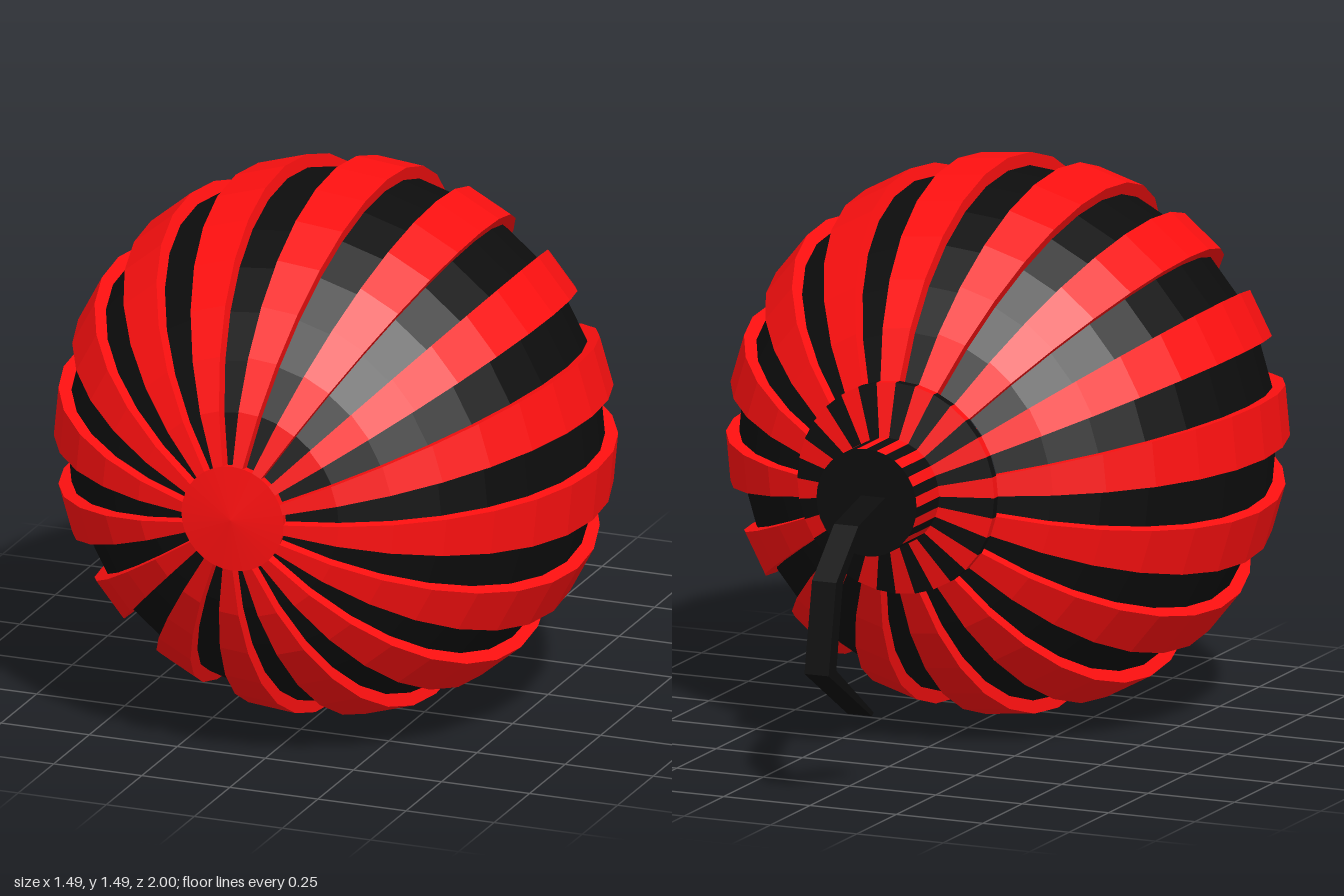
import * as THREE from 'three';
import { mergeGeometries } from 'three/addons/utils/BufferGeometryUtils.js';

const CY = 0.747, CZ = 0.253;        // ball centre
const R_IN = 0.708, R_OUT = 0.743;   // groove and rib radii
const STEP = Math.PI / 16;           // 32 segments round, 16 rings

const red = new THREE.MeshStandardMaterial({ color: 0xff1010, flatShading: true });
const black = new THREE.MeshStandardMaterial({ color: 0x0d0d0d, flatShading: true });

// Profile [radius, z], from back to front, turned about the z axis
function turned(profile, segments, start = 0, length = Math.PI * 2) {
  const pts = profile.map(([r, z]) => new THREE.Vector2(r, z));
  return new THREE.LatheGeometry(pts, segments, start + Math.PI / 2, length).rotateX(Math.PI / 2);
}

// Point on a ball ring, ring 0 being the front pole
const ringPoint = (r, ring) => [r * Math.sin(ring * STEP), CZ + r * Math.cos(ring * STEP)];

// Raised rib: a four-cornered section swept from front to back
function ribGeometry() {
  const pos = [], index = [], first = 1, last = 14;
  for (let i = first; i <= last; i++) {
    for (const [r, a] of [[R_IN, -STEP], [R_OUT, -STEP], [R_OUT, 0], [R_IN, 0]]) {
      const [rad, z] = ringPoint(r, i);
      pos.push(rad * Math.cos(a), rad * Math.sin(a), z);
    }
  }
  for (let i = 0; i < last - first; i++) {
    for (let k = 0; k < 3; k++) {
      const a = i * 4 + k, b = a + 1, c = a + 4, d = a + 5;
      index.push(a, c, b, b, c, d);
    }
  }
  const g = new THREE.BufferGeometry();
  g.setAttribute('position', new THREE.Float32BufferAttribute(pos, 3));
  g.setIndex(index);
  g.computeVertexNormals();
  return g;
}

export function createModel() {
  const group = new THREE.Group();
  const add = (name, geometry, material, y = CY) => {
    const mesh = new THREE.Mesh(geometry, material);
    mesh.name = name;
    mesh.position.y = y;
    group.add(mesh);
    return mesh;
  };

  // Black inner ball, seen in the grooves
  const arc = [];
  for (let i = 14; i >= 0; i--) arc.push(ringPoint(R_IN, i));
  add('innerBall', turned(arc, 32), black);

  // Sixteen raised red ribs
  const rib = ribGeometry();
  const ribs = [];
  for (let k = 0; k < 16; k++) ribs.push(rib.clone().rotateZ(k * 2 * STEP));
  add('ribs', mergeGeometries(ribs), red);

  // Red cap at the front pole
  add('frontCap', turned([ringPoint(R_IN, 1), ringPoint(R_OUT, 1), ringPoint(R_OUT, 0)], 32), red);

  // Striped collar and neck at the back
  const collar = [[0.145, -0.642], [0.145, -0.5], [0.285, -0.457], [0.285, -0.433], [0.268, -0.4]];
  const stripes = [[], []];
  for (let k = 0; k < 32; k++) stripes[k % 2].push(turned(collar, 1, (k - 1) * STEP, STEP));
  add('collarRedStripes', mergeGeometries(stripes[0]), red);
  add('collarBlackStripes', mergeGeometries(stripes[1]), black);
  add('neckEnd', turned([[0, -0.642], [0.145, -0.642]], 32), black);

  // Bent flat hook: side outline [distance behind centre, y], given thickness across x
  const outline = [
    [0.63, 0.768], [0.812, 0.724], [0.952, 0.6], [1.0, 0.358], [0.727, 0.193],
    [0.714, 0.2], [0.951, 0.363], [0.91, 0.59], [0.775, 0.717], [0.63, 0.756],
  ];
  const shape = new THREE.Shape(outline.map(([d, y]) => new THREE.Vector2(d, y)));
  const hook = new THREE.ExtrudeGeometry(shape, { depth: 0.07, bevelEnabled: false });
  add('hook', hook.rotateY(Math.PI / 2), black, 0).position.x = -0.054;

  return group;
}
